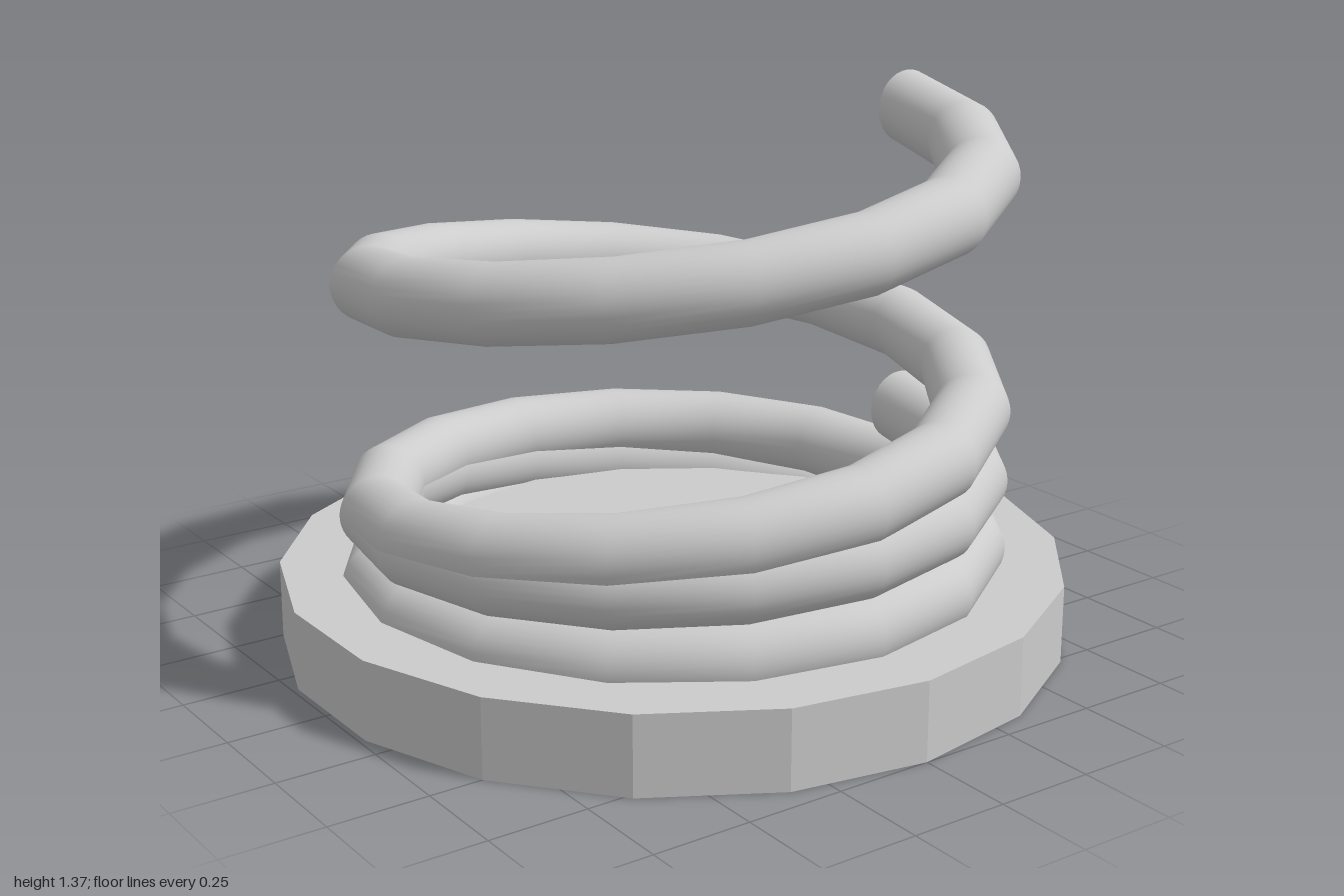
import * as THREE from 'three';
import { mergeVertices } from 'three/addons/utils/BufferGeometryUtils.js';

const COIL_RADIUS = 0.75, WIRE_RADIUS = 0.095;
const TURNS = 2, STEPS_PER_TURN = 16, WIRE_SIDES = 32;

// Round wire wound anticlockwise from yStart up to yEnd, with flat end caps
function makeCoil(name, yStart, yEnd, material) {
  const coil = new THREE.Group();
  coil.name = name;

  const steps = TURNS * STEPS_PER_TURN;
  let geometry = new THREE.TorusGeometry(COIL_RADIUS, WIRE_RADIUS, WIRE_SIDES, steps, TURNS * Math.PI * 2);
  geometry.rotateX(-Math.PI / 2);

  // Lift each ring in turn so the torus becomes a spring
  const position = geometry.attributes.position;
  for (let i = 0; i < position.count; i++) {
    const t = (i % (steps + 1)) / steps;
    position.setY(i, position.getY(i) + yStart + t * (yEnd - yStart));
  }
  geometry.deleteAttribute('uv');
  geometry.deleteAttribute('normal');
  geometry = mergeVertices(geometry);
  geometry.computeVertexNormals();

  const wire = new THREE.Mesh(geometry, material);
  wire.name = name + 'Wire';
  coil.add(wire);

  // Lower cap faces the front, upper cap faces the back
  for (const [capName, y, turn] of [['LowerCap', yStart, 0], ['UpperCap', yEnd, Math.PI]]) {
    const cap = new THREE.Mesh(new THREE.CircleGeometry(WIRE_RADIUS, WIRE_SIDES), material);
    cap.name = name + capName;
    cap.position.set(COIL_RADIUS, y, 0);
    cap.rotation.y = turn;
    coil.add(cap);
  }
  return coil;
}

export function createModel() {
  const model = new THREE.Group();
  model.name = 'springOnBase';
  const smooth = new THREE.MeshStandardMaterial({ color: 0xcccccc });
  const flat = new THREE.MeshStandardMaterial({ color: 0xcccccc, flatShading: true });

  // Faceted disc base
  const base = new THREE.Mesh(new THREE.CylinderGeometry(1, 1, 0.2, 18), flat);
  base.name = 'base';
  base.position.y = 0.1;
  model.add(base);

  // Stretched spring and the compressed spring nested in its lower turns
  model.add(makeCoil('tallCoil', 0.1, 1.277, smooth));
  model.add(makeCoil('shortCoil', 0.1, 0.457, smooth));
  return model;
}
